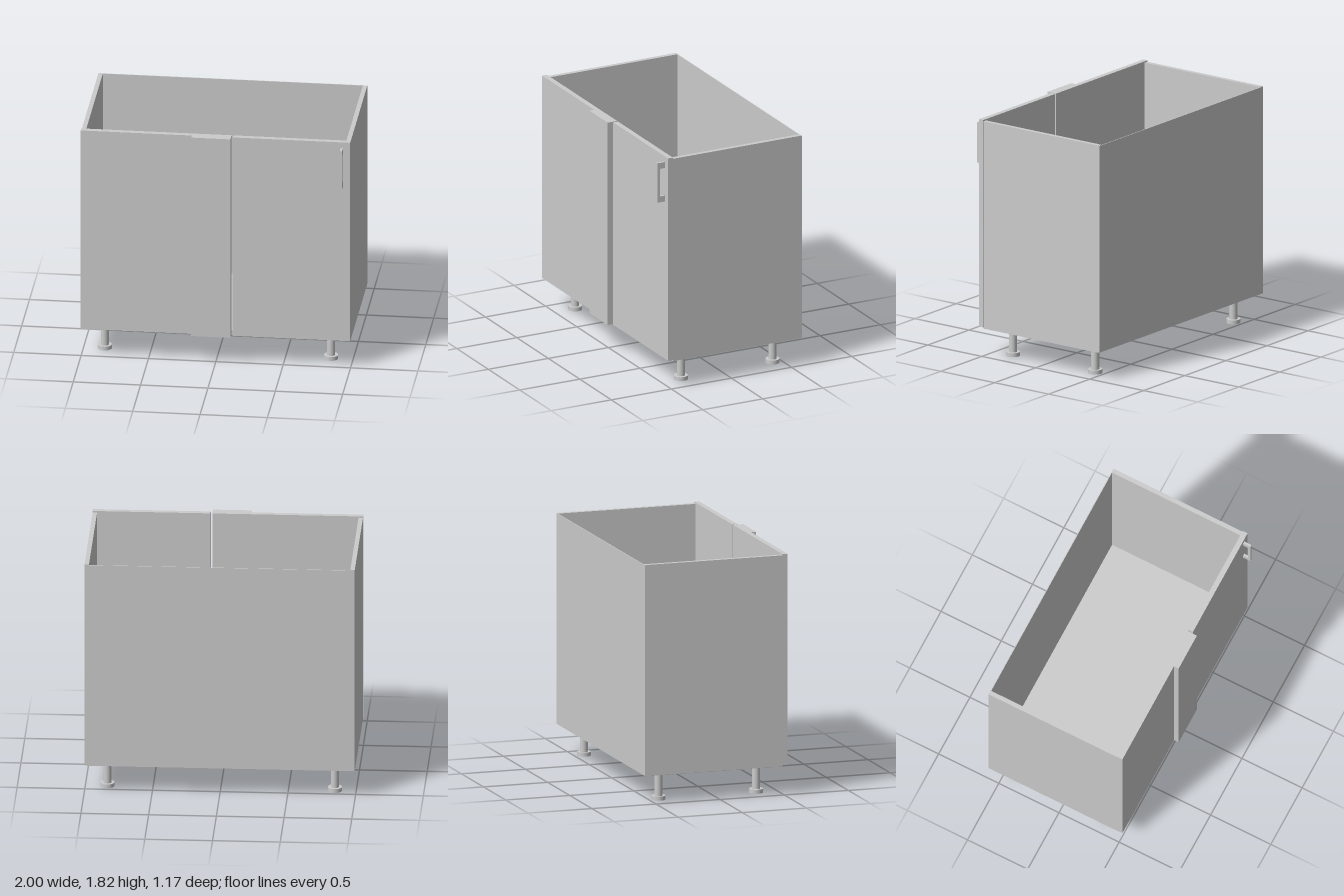
import * as THREE from 'three';

export function createModel() {
  const group = new THREE.Group();
  const material = new THREE.MeshStandardMaterial({ color: 0xcccccc });

  // Box given by its limits on each axis
  function box(name, [x0, x1], [y0, y1], [z0, z1], parent = group) {
    const mesh = new THREE.Mesh(new THREE.BoxGeometry(x1 - x0, y1 - y0, z1 - z0), material);
    mesh.position.set((x0 + x1) / 2, (y0 + y1) / 2, (z0 + z1) / 2);
    mesh.name = name;
    parent.add(mesh);
  }

  const bottom = 0.215, top = 1.805;
  const back = -0.587, carcassFront = 0.487, doorFront = 0.527;

  // Open-topped carcass
  box('leftSide', [0.965, 0.998], [bottom, top], [back + 0.006, carcassFront]);
  box('rightSide', [-0.998, -0.965], [bottom, top], [back + 0.006, carcassFront]);
  box('bottomPanel', [-0.965, 0.965], [bottom, bottom + 0.035], [back + 0.006, carcassFront]);
  box('backPanel', [-0.997, 0.997], [bottom + 0.002, top - 0.002], [back, back + 0.006]);

  // Fixed front, filler strip and door, with a gap beside the door
  const frontHeight = [0.225, 1.815];
  box('fixedFront', [-1, 0.115], frontHeight, [carcassFront, doorFront]);
  box('fillerStrip', [-0.175, 0.115], frontHeight, [doorFront, 0.566]);
  box('door', [0.128, 1], frontHeight, [carcassFront, doorFront]);

  // Bar handle with two posts
  const handle = new THREE.Group();
  handle.name = 'handle';
  const handleX = [0.93, 0.947];
  box('handleGrip', handleX, [1.46, 1.77], [0.568, 0.587], handle);
  box('lowerHandlePost', handleX, [1.46, 1.507], [doorFront, 0.568], handle);
  box('upperHandlePost', handleX, [1.723, 1.77], [doorFront, 0.568], handle);
  group.add(handle);

  // Four legs with wider feet
  const stem = new THREE.CylinderGeometry(0.03, 0.03, bottom - 0.03, 32);
  const foot = new THREE.CylinderGeometry(0.052, 0.052, 0.03, 32);
  for (const x of [-0.843, 0.837]) {
    for (const z of [0.335, -0.427]) {
      const leg = new THREE.Group();
      leg.name = 'leg';
      const stemMesh = new THREE.Mesh(stem, material);
      stemMesh.name = 'legStem';
      stemMesh.position.y = (bottom + 0.03) / 2;
      const footMesh = new THREE.Mesh(foot, material);
      footMesh.name = 'legFoot';
      footMesh.position.y = 0.015;
      leg.add(stemMesh, footMesh);
      leg.position.set(x, 0, z);
      group.add(leg);
    }
  }

  return group;
}
